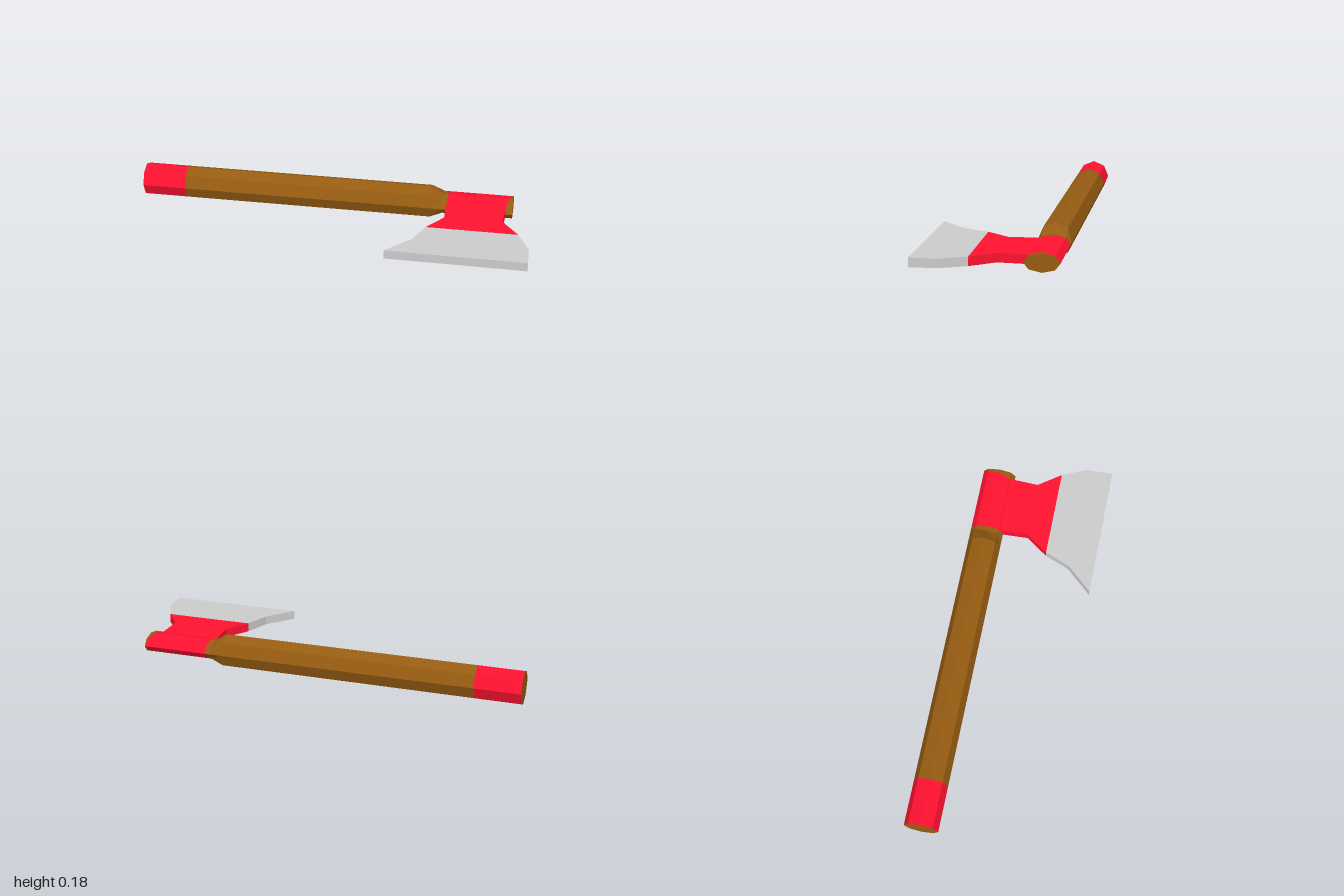
import * as THREE from 'three';

const mat = (color) => new THREE.MeshStandardMaterial({ color, flatShading: true });
const wood = mat(0x965c12), red = mat(0xff1230), steel = mat(0xcccccc);
const SIDES = 8, RADIUS = 0.088;

// Octagonal loft along -z. Each ring is [distance, half height, slant across the width].
function loft(name, material, rings, capStart = false, capEnd = false) {
  const pos = [];
  const point = ([t, h, slant = 0], i) => {
    const a = (i / SIDES) * Math.PI * 2;
    return [Math.cos(a) * RADIUS, Math.sin(a) * h, -(t + slant * Math.cos(a))];
  };
  const tri = (...pts) => pts.forEach((p) => pos.push(...p));
  const first = rings[0], last = rings[rings.length - 1];
  for (let i = 0; i < SIDES; i++) {
    for (let k = 0; k < rings.length - 1; k++) {
      const a = point(rings[k], i), b = point(rings[k], i + 1);
      const c = point(rings[k + 1], i + 1), d = point(rings[k + 1], i);
      tri(a, c, b);
      tri(a, d, c);
    }
    if (capStart) tri([0, 0, -first[0]], point(first, i), point(first, i + 1));
    if (capEnd) tri([0, 0, -last[0]], point(last, i + 1), point(last, i));
  }
  const geo = new THREE.BufferGeometry();
  geo.setAttribute('position', new THREE.Float32BufferAttribute(pos, 3));
  geo.computeVertexNormals();
  const mesh = new THREE.Mesh(geo, material);
  mesh.name = name;
  return mesh;
}

// Flat plate from an outline of [x, z] points, extruded upwards.
function plate(name, material, outline) {
  const shape = new THREE.Shape(outline.map(([x, z]) => new THREE.Vector2(x, -z)));
  const geo = new THREE.ExtrudeGeometry(shape, { depth: 0.046, bevelEnabled: false });
  geo.rotateX(-Math.PI / 2);
  const mesh = new THREE.Mesh(geo, material);
  mesh.name = name;
  mesh.position.y = 0.072;
  return mesh;
}

export function createModel() {
  const axe = new THREE.Group();
  axe.name = 'axe';

  // Shaft, lying diagonally on the ground
  const full = 0.089, flat = 0.047;
  const shaft = new THREE.Group();
  shaft.name = 'shaft';
  shaft.position.set(-0.938, 0.09, 0.698);
  shaft.rotation.y = -0.8;
  shaft.add(
    loft('gripBand', red, [[0, full], [0.235, full]]),
    loft('gripEnd', wood, [[0, full], [0.001, full]], true),
    loft('handle', wood, [[0.235, full], [1.57, full], [1.635, flat], [1.66, flat]]),
    loft('headSocket', red, [[1.66, flat], [1.983, flat, -0.018]]),
    loft('handleTip', wood, [[1.983, flat, -0.018], [2.005, flat]], false, true),
  );
  axe.add(shaft);

  // Axe head: painted neck and bare steel blade
  axe.add(
    plate('neck', red, [
      [0.25, -0.45], [0.297, -0.406], [0.409, -0.3], [0.43, -0.16],
      [0.767, -0.487], [0.623, -0.513], [0.527, -0.62], [0.48, -0.665],
    ]),
    plate('blade', steel, [
      [0.43, -0.16], [0.484, -0.027], [0.489, 0.155],
      [1.0, -0.337], [0.9, -0.433], [0.767, -0.487],
    ]),
  );
  return axe;
}
